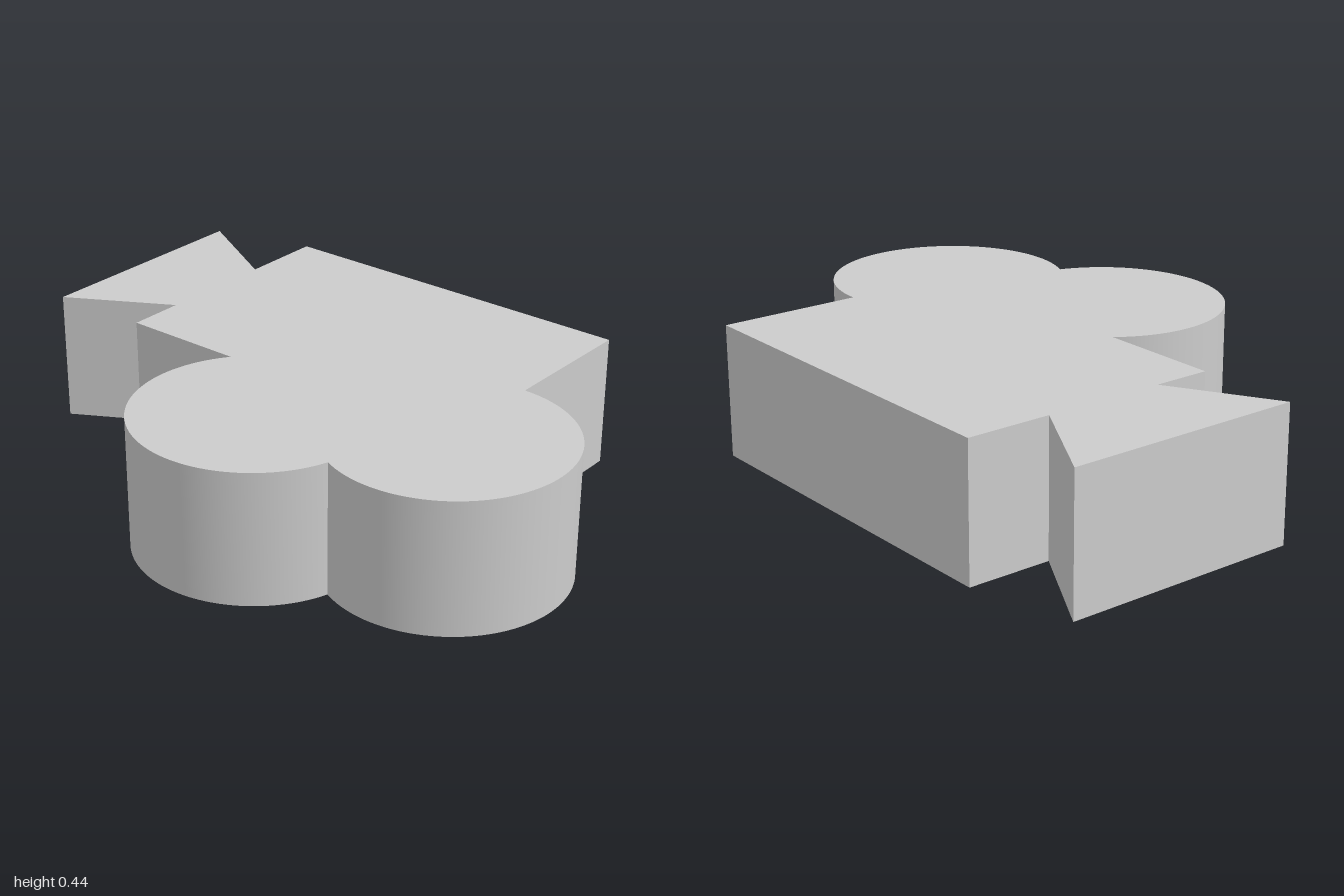
import * as THREE from 'three';
import { toCreasedNormals } from 'three/addons/utils/BufferGeometryUtils.js';

const HEIGHT = 0.44;
const R = 0.39; // both reels share one radius
const REEL_A = new THREE.Vector2(0.605, -0.12);
const REEL_B = new THREE.Vector2(0.063, -0.357);

// Plan outline, drawn in x and -z, running clockwise
function cameraOutline() {
  // outer crossing point of the two reels
  const mid = REEL_A.clone().add(REEL_B).multiplyScalar(0.5);
  const d = REEL_A.clone().sub(REEL_B);
  const h = Math.sqrt(R * R - d.lengthSq() / 4);
  const notch = mid.add(new THREE.Vector2(d.y, -d.x).normalize().multiplyScalar(h));
  const angleTo = (c, p) => Math.atan2(p.y - c.y, p.x - c.x);

  // where the second reel meets the long edge of the body
  const edge = -0.12;
  const meet = new THREE.Vector2(REEL_B.x - Math.sqrt(R * R - (edge - REEL_B.y) ** 2), edge);

  const s = new THREE.Shape();
  // rectangular body
  s.moveTo(-0.66, 0.75);
  s.lineTo(0.605, 0.75);
  // two round reels
  s.absarc(REEL_A.x, REEL_A.y, R, Math.PI / 2, angleTo(REEL_A, notch), true);
  s.absarc(REEL_B.x, REEL_B.y, R, angleTo(REEL_B, notch), angleTo(REEL_B, meet), true);
  s.lineTo(-0.66, edge);
  // flared lens
  s.lineTo(-0.66, 0.068);
  s.lineTo(-1, -0.125);
  s.lineTo(-1, 0.663);
  s.lineTo(-0.66, 0.47);
  s.closePath();
  return s;
}

export function createModel() {
  const group = new THREE.Group();
  group.name = 'movieCameraBlock';

  let geometry = new THREE.ExtrudeGeometry(cameraOutline(), {
    depth: HEIGHT,
    bevelEnabled: false,
    curveSegments: 48,
  });
  geometry.rotateX(-Math.PI / 2); // lay flat, thickness upward
  geometry = toCreasedNormals(geometry, Math.PI / 6);

  const block = new THREE.Mesh(geometry, new THREE.MeshStandardMaterial({ color: 0xcccccc }));
  block.name = 'cameraBody';
  group.add(block);
  return group;
}
